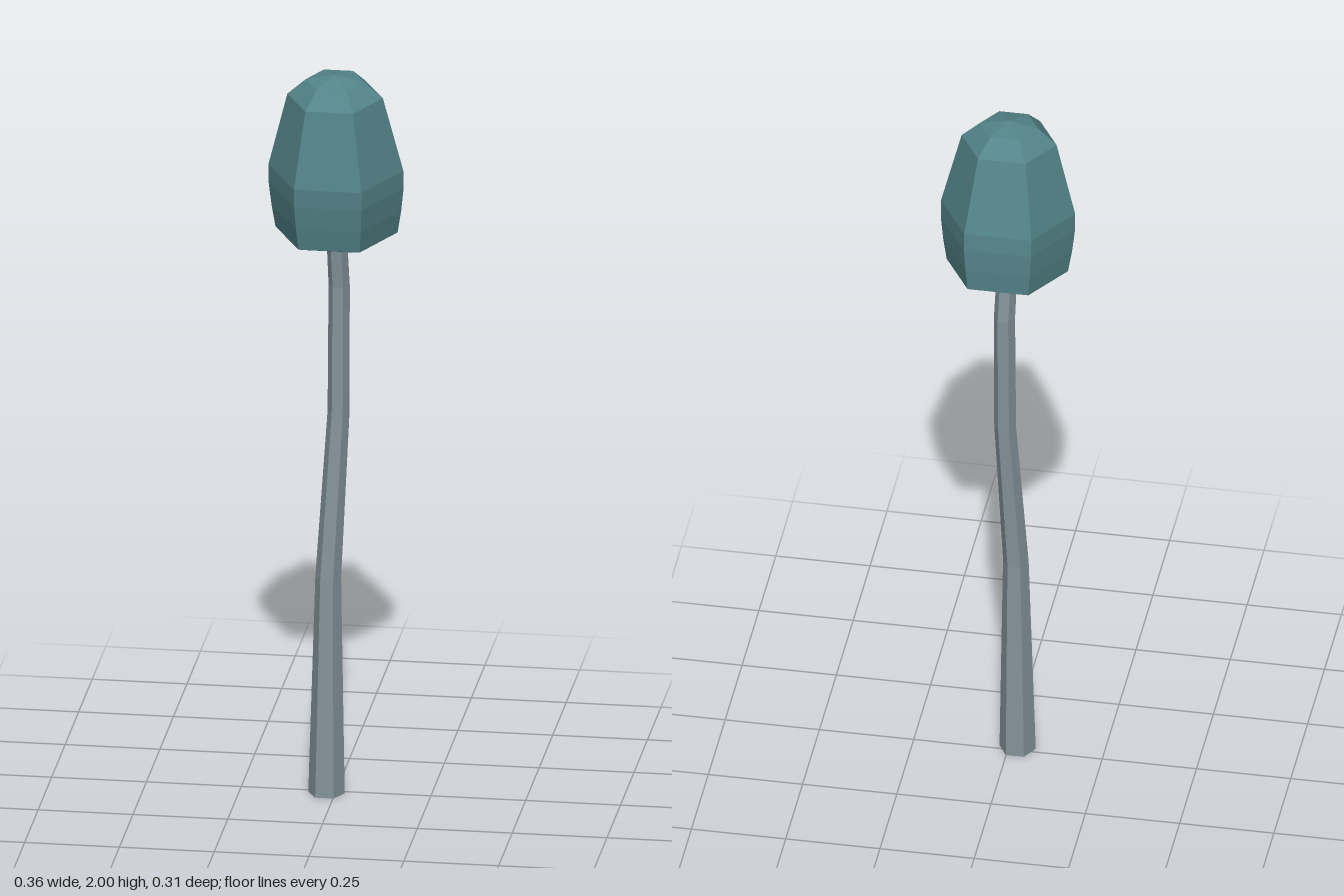
import * as THREE from 'three';

const SIDES = 6;

// Skins a stack of hexagonal rings [x, y, z, radius]; radius 0 makes a point.
function loft(name, rings, color) {
  const positions = [];
  const corner = ([x, y, z, r], i) => {
    const a = (i / SIDES) * Math.PI * 2;
    return [x + r * Math.cos(a), y, z - r * Math.sin(a)];
  };
  for (let k = 0; k < rings.length - 1; k++) {
    const low = rings[k], high = rings[k + 1];
    for (let i = 0; i < SIDES; i++) {
      const a = corner(low, i), b = corner(low, i + 1);
      const c = corner(high, i + 1), d = corner(high, i);
      if (low[3] > 0) positions.push(...a, ...b, ...c);
      if (high[3] > 0) positions.push(...a, ...c, ...d);
    }
  }
  const geometry = new THREE.BufferGeometry();
  geometry.setAttribute('position', new THREE.Float32BufferAttribute(positions, 3));
  geometry.computeVertexNormals();
  const mesh = new THREE.Mesh(geometry, new THREE.MeshStandardMaterial({ color, flatShading: true }));
  mesh.name = name;
  return mesh;
}

// Rings on a straight vertical axis, from [radius, y] pairs
const upright = (profile) => profile.map(([r, y]) => [0, y, 0, r]);

export function createModel() {
  const model = new THREE.Group();
  model.name = 'mushroom';

  // Crooked, tapering stem with a closed foot
  model.add(loft('stem', [
    [-0.023, 0, 0.015, 0],
    [-0.023, 0, 0.015, 0.048],
    [-0.019, 0.6, 0.011, 0.034],
    [0.004, 1.05, -0.019, 0.029],
    [0.005, 1.4, -0.023, 0.028],
    [0, 1.56, -0.006, 0.027],
  ], 0x84949b));

  // Head leans slightly forward about its middle
  const head = new THREE.Group();
  head.name = 'head';
  head.position.y = 1.7;
  head.rotation.x = 0.07;

  // Bell-shaped cap, from the inner lip round the rim and up to the crown
  head.add(loft('cap', upright([
    [0.115, -0.07],
    [0.142, -0.15],
    [0.161, -0.142],
    [0.171, -0.08],
    [0.178, -0.015],
    [0.178, 0.035],
    [0.126, 0.24],
    [0.077, 0.284],
    [0, 0.3],
  ]), 0x54858a));

  // Flared underside between stem and cap
  head.add(loft('gills', upright([
    [0.03, -0.165],
    [0.115, -0.07],
  ]), 0x8a9194));

  model.add(head);
  return model;
}
